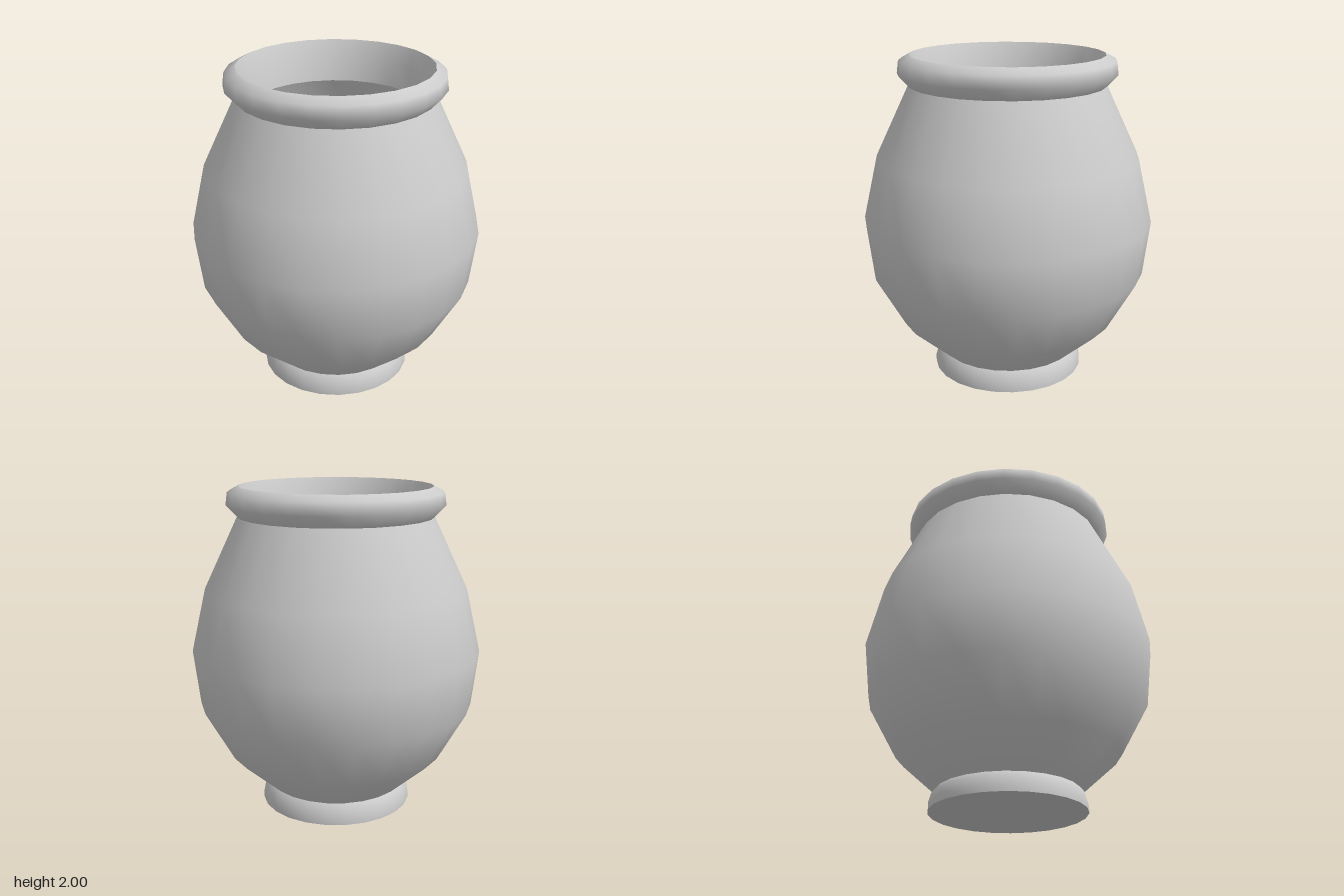
import * as THREE from 'three';

const SEGMENTS = 24;

export function createModel() {
  const jar = new THREE.Group();
  jar.name = 'jar';
  const clay = new THREE.MeshStandardMaterial({ color: 0xcccccc });
  clay.name = 'greyClay';

  // One smooth turned band; separate bands keep a sharp edge between them.
  function turned(name, profile) {
    const points = profile.map(([r, y]) => new THREE.Vector2(r, y));
    const mesh = new THREE.Mesh(new THREE.LatheGeometry(points, SEGMENTS), clay);
    mesh.name = name;
    jar.add(mesh);
  }

  // Outside, from the underside up to the lip
  turned('underside', [[0, 0], [0.47, 0]]);
  turned('foot', [[0.47, 0], [0.47, 0.04], [0.455, 0.095], [0.43, 0.125]]);
  turned('body', [[0.43, 0.125], [0.675, 0.345], [0.85, 0.66], [0.89, 1.0], [0.8, 1.39], [0.595, 1.82]]);
  turned('rim', [[0.595, 1.82], [0.66, 1.89], [0.65, 1.965], [0.585, 2.0]]);

  // Hollow inside, from the lip down to the floor
  turned('neckLining', [[0.585, 2.0], [0.54, 1.89], [0.515, 1.75]]);
  turned('innerWall', [[0.515, 1.75], [0.71, 1.38], [0.8, 1.0], [0.76, 0.68], [0.6, 0.38], [0.54, 0.32]]);
  turned('innerFloor', [[0.54, 0.32], [0, 0.32]]);

  return jar;
}
